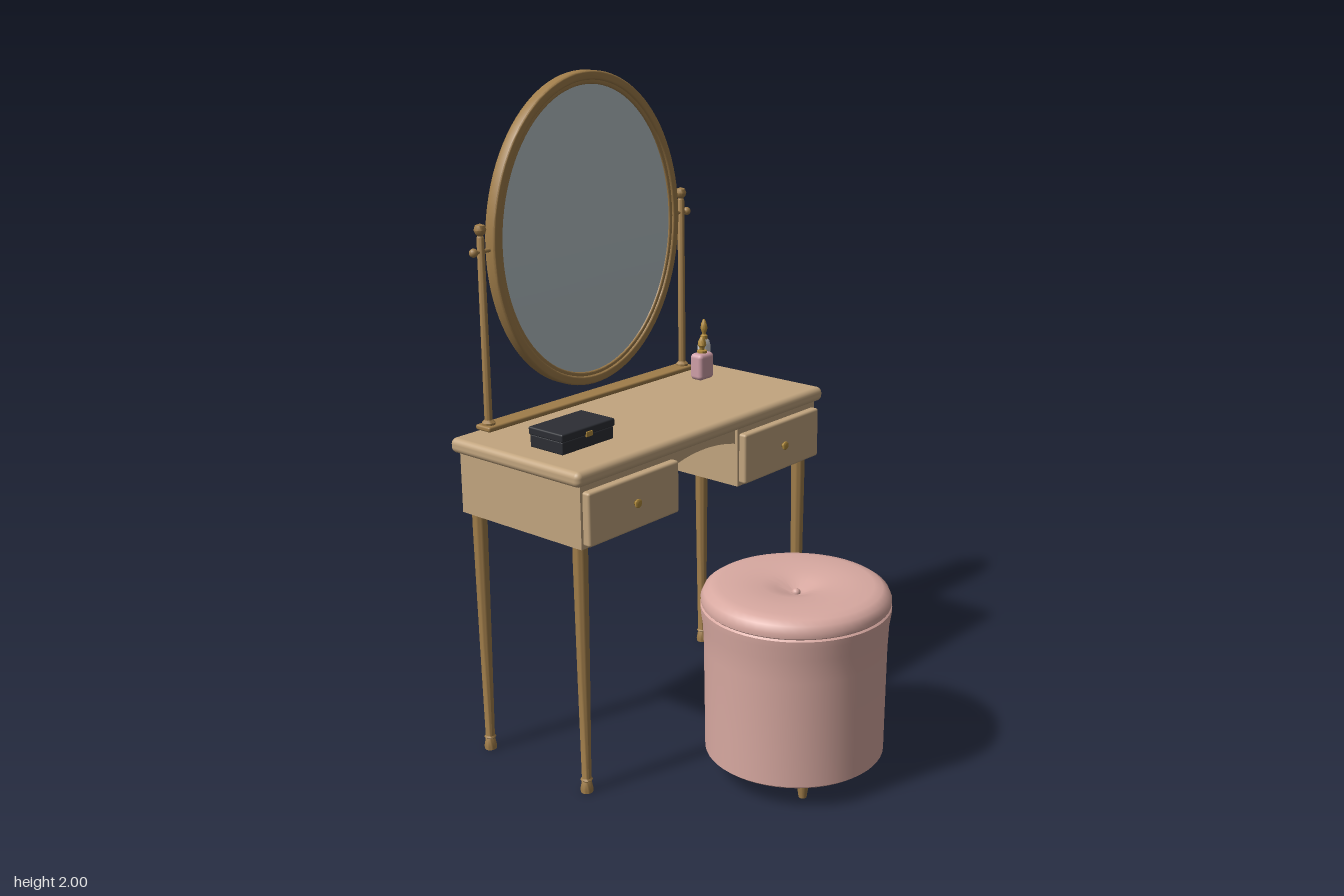
import * as THREE from 'three';
import { toCreasedNormals, mergeVertices } from 'three/addons/utils/BufferGeometryUtils.js';
import { RoundedBoxGeometry } from 'three/addons/geometries/RoundedBoxGeometry.js';

const material = (color) => new THREE.MeshStandardMaterial({ color });
const WOOD = material(0xc2a57f), DARK_WOOD = material(0xa07d4a), BACKING = material(0x9a8258);
const GLASS = material(0xb8c4c8), PINK = material(0xd8a9a1), BLACK = material(0x2c2e34);
const BRASS = material(0xb08a3c), ROSE = material(0xcf9fa8), SILVER = material(0xc9c9c9);

export function createModel() {
  const model = new THREE.Group();

  const add = (name, geometry, mat, x = 0, y = 0, z = 0, parent = model) => {
    const mesh = new THREE.Mesh(geometry, mat);
    mesh.name = name;
    mesh.position.set(x, y, z);
    parent.add(mesh);
    return mesh;
  };
  const group = (name, x = 0, y = 0, z = 0) => {
    const g = new THREE.Group();
    g.name = name;
    g.position.set(x, y, z);
    model.add(g);
    return g;
  };
  const rounded = (w, h, d, r) => new RoundedBoxGeometry(w, h, d, 3, r);
  // Turned part from [radius, height] pairs, bottom to top
  const turned = (profile, sides = 20) => toCreasedNormals(
    new THREE.LatheGeometry(profile.map(([r, y]) => new THREE.Vector2(r, y)), sides), 0.7);

  // Table top and carcass
  add('tableTop', rounded(1.12, 0.045, 0.516, 0.018), WOOD, 0, 0.9775, -0.299);
  for (const s of [-1, 1]) {
    add('drawerCase', new THREE.BoxGeometry(0.39, 0.19, 0.48), WOOD, s * 0.34, 0.865, -0.3);
    add('drawerFront', rounded(0.374, 0.158, 0.03, 0.008), WOOD, s * 0.34, 0.858, -0.05);
    const knob = add('drawerKnob', turned([[0, 0], [0.012, 0], [0.006, 0.004], [0.006, 0.008],
      [0.013, 0.011], [0.013, 0.015], [0.008, 0.019], [0, 0.02]]), BRASS, s * 0.34, 0.86, -0.038);
    knob.rotation.x = Math.PI / 2;
  }

  // Arched front apron and straight back apron over the knee hole
  const arch = new THREE.Shape();
  arch.moveTo(-0.147, 0.96);
  arch.lineTo(-0.147, 0.905);
  arch.quadraticCurveTo(0, 0.945, 0.147, 0.905);
  arch.lineTo(0.147, 0.96);
  add('frontApron', new THREE.ExtrudeGeometry(arch, { depth: 0.02, bevelEnabled: false, curveSegments: 20 }),
    WOOD, 0, 0, -0.09);
  add('backApron', new THREE.BoxGeometry(0.294, 0.07, 0.02), WOOD, 0, 0.922, -0.53);

  // Tapered legs with small flared feet
  const legShape = turned([[0, 0], [0.018, 0], [0.019, 0.01], [0.014, 0.036], [0.018, 0.04], [0.014, 0.045],
    [0.018, 0.35], [0.022, 0.72], [0.022, 0.775], [0, 0.775]]);
  for (const x of [-0.503, 0.503]) for (const z of [-0.097, -0.505]) add('tableLeg', legShape, DARK_WOOD, x, 0, z);

  // Mirror stand
  const MZ = -0.527;
  add('standBase', rounded(0.915, 0.016, 0.06, 0.006), DARK_WOOD, 0, 1.008, MZ);
  for (const s of [-1, 1]) {
    add('standPost', turned([[0.02, 1.01], [0.02, 1.022], [0.012, 1.03], [0.011, 1.565], [0.008, 1.57],
      [0.014, 1.576], [0.018, 1.587], [0.014, 1.6], [0, 1.605]]), DARK_WOOD, s * 0.432, 0, MZ);
    const pivot = add('pivotPin', new THREE.CylinderGeometry(0.006, 0.006, 0.08, 12), DARK_WOOD, s * 0.425, 1.525, MZ);
    pivot.rotation.z = Math.PI / 2;
    add('pivotKnob', new THREE.SphereGeometry(0.013, 16, 10), DARK_WOOD, s * 0.46, 1.525, MZ);
  }

  // Oval mirror: two stepped rings, glass and back board
  const mirror = group('mirror', 0, 1.525, MZ);
  const ovalRing = (rx, ry, width, depth, bevel) => {
    const shape = new THREE.Shape().absellipse(0, 0, rx - bevel, ry - bevel, 0, Math.PI * 2);
    shape.holes.push(new THREE.Path().absellipse(0, 0, rx - width + bevel, ry - width + bevel, 0, Math.PI * 2));
    const g = new THREE.ExtrudeGeometry(shape, {
      depth: depth - 2 * bevel, bevelThickness: bevel, bevelSize: bevel, bevelSegments: 3, curveSegments: 48,
    });
    g.translate(0, 0, bevel - depth / 2);
    return toCreasedNormals(g, 0.7);
  };
  // Oval disc with shared rim normals, giving a softly domed sheen
  const ovalDisc = (rx, ry, depth) => {
    const g = new THREE.CylinderGeometry(1, 1, depth, 64).rotateX(Math.PI / 2).scale(rx, ry, 1);
    g.deleteAttribute('normal');
    g.deleteAttribute('uv');
    const merged = mergeVertices(g);
    merged.computeVertexNormals();
    return merged;
  };
  add('mirrorFrame', ovalRing(0.4, 0.475, 0.028, 0.04, 0.006), DARK_WOOD, 0, 0, 0, mirror);
  add('mirrorInnerRim', ovalRing(0.378, 0.453, 0.018, 0.03, 0.004), DARK_WOOD, 0, 0, 0, mirror);
  add('mirrorGlass', ovalDisc(0.366, 0.441, 0.008), GLASS, 0, 0, 0.006, mirror);
  add('mirrorBack', ovalDisc(0.366, 0.441, 0.01), BACKING, 0, 0, -0.007, mirror);

  // Jewellery box
  const box = group('jewelleryBox', -0.368, 1, -0.25);
  add('boxBase', rounded(0.207, 0.038, 0.128, 0.004), BLACK, 0, 0.019, 0, box);
  add('boxLid', rounded(0.214, 0.024, 0.134, 0.005), BLACK, 0, 0.049, 0, box);
  add('boxClasp', rounded(0.026, 0.016, 0.006, 0.002), BRASS, 0, 0.04, 0.067, box);

  // Perfume bottles
  const pinkBottle = group('pinkBottle', 0.39, 1, -0.405);
  add('bottleBody', rounded(0.07, 0.087, 0.05, 0.014), ROSE, 0, 0.0435, 0, pinkBottle);
  add('bottleStopper', turned([[0.016, 0.084], [0.016, 0.094], [0.008, 0.097], [0.009, 0.104], [0.014, 0.112],
    [0.012, 0.125], [0.006, 0.138], [0, 0.141]]), BRASS, 0, 0, 0, pinkBottle);
  const silverBottle = group('silverBottle', 0.462, 1, -0.457);
  add('bottleBody', turned([[0, 0], [0.024, 0], [0.025, 0.006], [0.025, 0.09], [0.021, 0.104], [0.012, 0.113],
    [0, 0.114]], 28), SILVER, 0, 0, 0, silverBottle).scale.z = 0.68;
  add('bottleStopper', turned([[0.011, 0.11], [0.011, 0.122], [0.006, 0.126], [0.008, 0.136], [0.012, 0.146],
    [0.009, 0.162], [0.004, 0.175], [0, 0.177]]), BRASS, 0, 0, 0, silverBottle);

  // Round upholstered stool
  const stool = group('stool', 0, 0, 0.276);
  add('stoolBody', turned([[0, 0.068], [0.255, 0.068], [0.265, 0.076], [0.266, 0.2], [0.268, 0.4], [0.271, 0.47],
    [0.277, 0.51], [0.278, 0.53], [0.27, 0.537]], 56), PINK, 0, 0, 0, stool);
  add('stoolCushion', turned([[0.268, 0.53], [0.276, 0.538], [0.277, 0.552], [0.268, 0.572], [0.25, 0.584],
    [0.225, 0.589], [0.16, 0.589], [0.1, 0.586], [0.06, 0.577], [0.025, 0.562], [0, 0.556]], 56), PINK, 0, 0, 0, stool);
  add('cushionButton', new THREE.SphereGeometry(0.013, 16, 10), PINK, 0, 0.56, 0, stool);
  const stoolLeg = turned([[0, 0], [0.012, 0], [0.014, 0.015], [0.02, 0.055], [0.02, 0.072], [0, 0.072]], 16);
  for (const x of [-0.13, 0.13]) for (const z of [-0.13, 0.13]) add('stoolLeg', stoolLeg, DARK_WOOD, x, 0, z, stool);

  return model;
}
